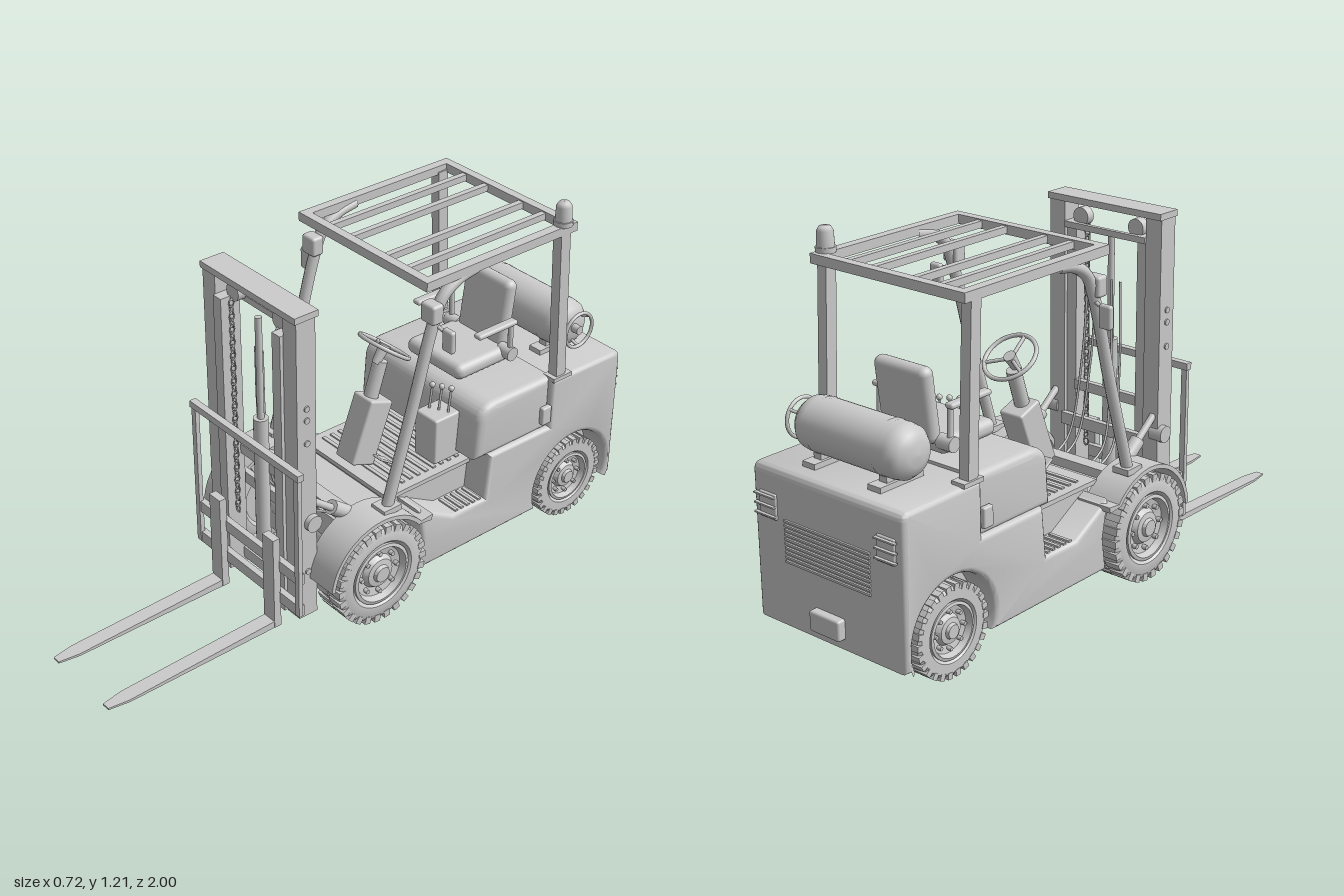
import * as THREE from 'three';
import { toCreasedNormals } from 'three/addons/utils/BufferGeometryUtils.js';
import { RoundedBoxGeometry } from 'three/addons/geometries/RoundedBoxGeometry.js';

const MAT = new THREE.MeshStandardMaterial({ color: 0xcccccc });
const V = (x, y, z) => new THREE.Vector3(x, y, z);
const SIDES = [-1, 1];

export function createModel() {
  const model = new THREE.Group();
  model.name = 'forklift';

  const add = (name, geo, x = 0, y = 0, z = 0, parent = model) => {
    const m = new THREE.Mesh(geo, MAT);
    m.name = name;
    m.position.set(x, y, z);
    parent.add(m);
    return m;
  };
  // Box given by its limits on each axis
  const box = (name, [x0, x1], [y0, y1], [z0, z1], parent) =>
    add(name, new THREE.BoxGeometry(x1 - x0, y1 - y0, z1 - z0), (x0 + x1) / 2, (y0 + y1) / 2, (z0 + z1) / 2, parent);
  const soft = (name, w, h, d, r, x, y, z, parent) => add(name, new RoundedBoxGeometry(w, h, d, 3, r), x, y, z, parent);
  // Round rod between two points
  const rod = (name, a, b, r, r2 = r, parent = model) => {
    const m = add(name, new THREE.CylinderGeometry(r2, r, a.distanceTo(b), 16), 0, 0, 0, parent);
    m.position.copy(a).lerp(b, 0.5);
    m.quaternion.setFromUnitVectors(V(0, 1, 0), b.clone().sub(a).normalize());
    return m;
  };
  const tube = (name, pts, r, n = 24) => add(name, new THREE.TubeGeometry(new THREE.CatmullRomCurve3(pts), n, r, 10));
  // Side profile in (z, y), extruded across x with rounded edges
  const sideExtrude = (shape, width, bevel = 0) => {
    const g = new THREE.ExtrudeGeometry(shape, {
      depth: width - 2 * bevel, bevelEnabled: bevel > 0, bevelSize: bevel, bevelThickness: bevel,
      bevelOffset: -bevel, bevelSegments: 4, curveSegments: 20 });
    g.translate(0, 0, -(width - 2 * bevel) / 2).rotateY(-Math.PI / 2);
    return toCreasedNormals(g, 0.6);
  };

  // Body: one side profile with step notch, rear wheel arch and counterweight
  const body = new THREE.Shape();
  body.moveTo(-0.085, 0.09);
  body.lineTo(-0.1, 0.2);
  body.lineTo(-0.08, 0.325);
  body.lineTo(-0.12, 0.305);
  body.lineTo(-0.235, 0.24);
  body.lineTo(-0.37, 0.24);
  body.lineTo(-0.385, 0.4);
  body.lineTo(-0.65, 0.4);
  body.lineTo(-0.65, 0.575);
  body.lineTo(-0.94, 0.575);
  body.quadraticCurveTo(-0.968, 0.575, -0.968, 0.545);
  body.lineTo(-0.968, 0.09);
  body.lineTo(-0.929, 0.09);
  body.absarc(-0.77, 0.15, 0.17, Math.PI + 0.36, -0.36, true);
  add('body', sideExtrude(body, 0.6, 0.018));
  box('innerChassis', [-0.2, 0.2], [0.09, 0.335], [-0.95, -0.06]);
  box('rearChassis', [-0.18, 0.18], [0.09, 0.5], [-0.95, -0.5]);
  box('frontChassis', [-0.205, 0.205], [0.085, 0.3], [-0.1, 0.13]);
  box('floorPlate', [-0.21, 0.21], [0.335, 0.35], [-0.4, -0.03]);
  for (let i = 0; i < 9; i++) box('floorRib', [-0.18, 0.18], [0.35, 0.355], [-0.36 + i * 0.033, -0.347 + i * 0.033]);
  add('frontAxle', new THREE.CylinderGeometry(0.05, 0.05, 0.46, 24).rotateZ(Math.PI / 2), 0, 0.18, 0.09);
  box('frontCrossBeam', [-0.22, 0.22], [0.29, 0.33], [0.07, 0.12]);
  for (const s of SIDES) for (let i = 0; i < 5; i++)
    box('stepTread', [s * 0.25 - 0.04, s * 0.25 + 0.04], [0.24, 0.246], [-0.36 + i * 0.025, -0.349 + i * 0.025]);

  // Engine cover
  const hood = new THREE.Shape();
  hood.moveTo(-0.335, 0.39);
  hood.lineTo(-0.345, 0.53);
  hood.quadraticCurveTo(-0.355, 0.585, -0.42, 0.585);
  hood.lineTo(-0.66, 0.585);
  hood.lineTo(-0.66, 0.39);
  add('engineCover', sideExtrude(hood, 0.57, 0.025));
  for (const s of SIDES) soft('coverLatch', 0.02, 0.065, 0.04, 0.006, s * 0.295, 0.455, -0.63);

  // Rear grille, lamp guards and rear light
  for (let i = 0; i < 10; i++) box('grilleSlat', [-0.17, 0.17], [0.295 + i * 0.014, 0.302 + i * 0.014], [-0.974, -0.962]);
  for (const s of SIDES) {
    soft('rearLamp', 0.07, 0.08, 0.014, 0.005, s * 0.235, 0.455, -0.968);
    for (let i = 0; i < 3; i++) box('lampGuard', [s * 0.24 - 0.04, s * 0.24 + 0.04], [0.425 + i * 0.03, 0.43 + i * 0.03], [-0.985, -0.972]);
  }
  soft('rearLight', 0.12, 0.065, 0.035, 0.008, 0, 0.155, -0.978);

  // Wheels: tyre, lugs, rim and bolts; outer face along local +x
  const makeWheel = (name, R, w, rim) => {
    const g = new THREE.Group();
    g.name = name;
    const h = w / 2;
    const prof = [[rim, -h * 0.8], [rim * 1.1, -h], [R * 0.88, -h], [R * 0.95, -h * 0.85], [R * 0.97, -h * 0.4],
      [R * 0.97, h * 0.4], [R * 0.95, h * 0.85], [R * 0.88, h], [rim * 1.1, h], [rim, h * 0.8]];
    const lathe = (p, n = 48) => toCreasedNormals(new THREE.LatheGeometry(p.map(([r, x]) => new THREE.Vector2(r, x)), n).rotateZ(-Math.PI / 2), 0.6);
    add('tyre', lathe(prof), 0, 0, 0, g);
    const n = 26;
    for (let i = 0; i < n; i++) for (const s of SIDES) {
      const a = ((i + (s > 0 ? 0.5 : 0)) / n) * Math.PI * 2;
      const lug = add('treadLug', new THREE.BoxGeometry(h * 0.98, R * 0.14, R * 0.13), s * h * 0.54, Math.cos(a) * R * 0.925, Math.sin(a) * R * 0.925, g);
      lug.rotation.x = a;
    }
    add('rim', lathe([[0, -h * 0.8], [rim, -h * 0.8], [rim, h * 0.95], [rim * 0.9, h], [rim * 0.82, h * 0.6], [rim * 0.55, h * 0.5],
      [rim * 0.45, h * 0.8], [rim * 0.28, h * 0.85], [rim * 0.24, h * 1.05], [0, h * 1.05]]), 0, 0, 0, g);
    for (let i = 0; i < 8; i++) {
      const a = (i / 8) * Math.PI * 2;
      add('wheelBolt', new THREE.CylinderGeometry(rim * 0.075, rim * 0.075, 0.03, 6).rotateZ(Math.PI / 2), h * 0.55, Math.cos(a) * rim * 0.66, Math.sin(a) * rim * 0.66, g);
    }
    return g;
  };
  for (const s of SIDES) {
    for (const [name, R, w, rim, x, y, z] of [['frontWheel', 0.177, 0.11, 0.108, 0.275, 0.178, 0.09], ['rearWheel', 0.146, 0.1, 0.088, 0.24, 0.147, -0.77]]) {
      const wheel = makeWheel(name, R, w, rim);
      wheel.position.set(s * x, y, z);
      if (s < 0) wheel.rotation.y = Math.PI;
      model.add(wheel);
    }
    // Front fender
    const arc = new THREE.Shape();
    arc.absarc(0.09, 0.18, 0.204, 0.1, 2.45, false);
    arc.lineTo(-0.115, 0.315);
    arc.lineTo(-0.11, 0.295);
    arc.absarc(0.09, 0.18, 0.19, 2.45, 0.1, true);
    add('frontFender', sideExtrude(arc, 0.125), s * 0.267);
  }

  // Mast
  for (const s of SIDES) {
    const span = (a, b) => (s > 0 ? [a, b] : [-b, -a]);
    box('outerMastRail', span(0.162, 0.222), [0.06, 1.13], [0.265, 0.335]);
    box('innerMastRail', span(0.122, 0.16), [0.06, 1.05], [0.275, 0.345]);
    for (const y of [0.23, 0.7, 0.78, 0.82]) rod('mastBolt', V(s * 0.215, y, 0.3), V(s * 0.227, y, 0.3), 0.01);
    rod('mastPivot', V(s * 0.19, 0.41, 0.285), V(s * 0.24, 0.41, 0.285), 0.028);
    rod('tiltCylinder', V(s * 0.2, 0.31, 0.06), V(s * 0.2, 0.41, 0.19), 0.024);
    rod('tiltRod', V(s * 0.2, 0.4, 0.18), V(s * 0.2, 0.47, 0.27), 0.012);
    rod('chainPulley', V(s * 0.11, 1.068, 0.28), V(s * 0.11, 1.068, 0.31), 0.03);
    for (let i = 0; i < 34; i++) {
      const link = add('chainLink', new THREE.TorusGeometry(0.009, 0.0028, 4, 8), s * 0.11, 0.29 + i * 0.0225, 0.315);
      link.scale.y = 1.5;
      if (i % 2) link.rotation.y = Math.PI / 2;
    }
    for (const x of [0.03, 0.065])
      tube('hose', [V(s * x, 0.89, 0.265), V(s * (x + 0.012), 0.6, 0.25), V(s * (x + 0.025), 0.35, 0.2), V(s * (x + 0.025), 0.3, 0.12)], 0.004);
    // Backrest posts and forks
    box('backrestPost', span(0.245, 0.265), [0.11, 0.63], [0.355, 0.37]);
    const fork = new THREE.Group();
    fork.name = 'fork';
    fork.position.x = s * 0.136;
    model.add(fork);
    box('forkShank', [-0.027, 0.027], [0.015, 0.35], [0.362, 0.388], fork);
    const plan = new THREE.Shape();
    [[-0.025, 0.365], [0.025, 0.365], [0.025, 0.93], [0.014, 1], [-0.014, 1], [-0.025, 0.93]].forEach(([x, z], i) => i ? plan.lineTo(x, -z) : plan.moveTo(x, -z));
    const blade = new THREE.ExtrudeGeometry(plan, { depth: 0.025, bevelEnabled: false }).rotateX(-Math.PI / 2);
    const p = blade.attributes.position; // thin the blade toward its tip
    for (let i = 0; i < p.count; i++) p.setY(i, p.getY(i) * (1 - 0.75 * (p.getZ(i) - 0.365) / 0.635));
    blade.computeVertexNormals();
    add('forkBlade', blade, 0, 0.014, 0, fork);
  }
  box('mastTopBeam', [-0.225, 0.225], [1.115, 1.136], [0.255, 0.342]);
  box('innerMastTopBeam', [-0.16, 0.16], [1.03, 1.05], [0.26, 0.275]);
  box('mastCrossBar', [-0.125, 0.125], [0.485, 0.518], [0.27, 0.29]);
  box('mastLowerBar', [-0.165, 0.165], [0.08, 0.12], [0.265, 0.29]);
  box('mastRearBar', [-0.165, 0.165], [0.36, 0.4], [0.25, 0.27]);
  box('upperCarriageBar', [-0.26, 0.26], [0.225, 0.265], [0.345, 0.366]);
  box('lowerCarriageBar', [-0.26, 0.26], [0.105, 0.145], [0.345, 0.366]);
  box('backrestBar', [-0.27, 0.27], [0.615, 0.638], [0.35, 0.373]);
  rod('liftCylinder', V(0, 0.2, 0.3), V(0, 0.68, 0.3), 0.024);
  rod('liftRod', V(0, 0.67, 0.3), V(0, 1.03, 0.3), 0.011);
  box('liftCylinderFoot', [-0.042, 0.042], [0.185, 0.225], [0.265, 0.335]);

  // Overhead guard
  for (const s of SIDES) {
    box('guardSideRail', [s * 0.283 - 0.016, s * 0.283 + 0.016], [1.1, 1.13], [-0.71, -0.09]);
    tube('guardFrontPost', [V(s * 0.28, 0.38, 0.035), V(s * 0.28, 0.7, -0.06), V(s * 0.28, 0.97, -0.135), V(s * 0.28, 1.05, -0.17), V(s * 0.28, 1.09, -0.23), V(s * 0.28, 1.105, -0.3)], 0.019, 40);
    box('postFoot', [s * 0.28 - 0.03, s * 0.28 + 0.03], [0.375, 0.395], [0, 0.07]);
    const post = box('guardRearPost', [s * 0.28 - 0.018, s * 0.28 + 0.018], [0.575, 1.11], [-0.695, -0.655]);
    post.rotation.x = 0.045;
    box('rearPostFoot', [s * 0.28 - 0.025, s * 0.28 + 0.025], [0.572, 0.586], [-0.73, -0.65]);
    soft('headlight', 0.06, 0.065, 0.045, 0.01, s * 0.28, 1.013, -0.13);
    soft('sideMirror', 0.046, 0.075, 0.022, 0.009, s * 0.336, 0.932, -0.15);
    rod('mirrorArm', V(s * 0.28, 0.97, -0.14), V(s * 0.335, 0.95, -0.15), 0.006);
    for (const x of [0.08, 0.18]) box('guardBar', [s * x - 0.01, s * x + 0.01], [1.104, 1.126], [-0.7, -0.1]);
  }
  box('guardFrontBar', [-0.29, 0.29], [1.1, 1.13], [-0.12, -0.09]);
  box('guardRearBar', [-0.29, 0.29], [1.1, 1.13], [-0.71, -0.68]);
  rod('beaconBase', V(0.28, 1.128, -0.665), V(0.28, 1.145, -0.665), 0.031);
  add('beacon', new THREE.LatheGeometry([[0.027, 0], [0.025, 0.05], [0.018, 0.062], [0, 0.065]].map(([r, y]) => new THREE.Vector2(r, y)), 24), 0.28, 1.142, -0.665);

  // Steering column and wheel
  soft('columnBox', 0.09, 0.225, 0.095, 0.008, 0, 0.472, -0.11).rotation.x = -0.36;
  rod('steeringColumn', V(0, 0.56, -0.13), V(0, 0.7, -0.175), 0.024);
  const steering = new THREE.Group();
  steering.name = 'steeringWheel';
  steering.position.set(0, 0.745, -0.19);
  steering.rotation.x = -0.62;
  model.add(steering);
  add('steeringRim', new THREE.TorusGeometry(0.086, 0.007, 10, 40).rotateX(Math.PI / 2), 0, 0, 0, steering);
  rod('steeringHub', V(0, -0.06, 0), V(0, 0.006, 0), 0.014, 0.02, steering);
  for (let i = 0; i < 3; i++) {
    const a = Math.PI / 2 + (i * Math.PI * 2) / 3;
    rod('steeringSpoke', V(0, -0.006, 0), V(Math.cos(a) * 0.085, 0, Math.sin(a) * 0.085), 0.006, 0.006, steering);
  }
  for (const x of [-0.07, 0.08]) soft('pedal', 0.04, 0.008, 0.06, 0.003, x, 0.39, -0.12).rotation.x = -0.6;

  // Control levers
  soft('leverBox', 0.1, 0.165, 0.12, 0.008, 0.14, 0.45, -0.305);
  for (let i = 0; i < 3; i++) {
    const x = 0.112 + i * 0.028, z = -0.285 - i * 0.015;
    rod('lever', V(x, 0.52, z), V(x, 0.61, z - 0.012), 0.004);
    add('leverKnob', new THREE.SphereGeometry(0.01, 12, 8), x, 0.615, z - 0.012);
  }

  // Seat
  soft('seatCushion', 0.26, 0.055, 0.23, 0.025, 0, 0.615, -0.51);
  soft('seatBack', 0.21, 0.24, 0.05, 0.024, 0, 0.738, -0.635).rotation.x = -0.13;
  for (const s of SIDES) {
    soft('armrest', 0.032, 0.018, 0.17, 0.008, s * 0.145, 0.745, -0.535);
    rod('armrestBracket', V(s * 0.14, 0.625, -0.61), V(s * 0.14, 0.745, -0.605), 0.009);
    rod('seatHinge', V(s * 0.1, 0.627, -0.607), V(s * 0.155, 0.627, -0.607), 0.024);
  }

  // Gas tank with valve and guard ring
  const half = [[0, 0.22], [0.035, 0.217], [0.063, 0.206], [0.079, 0.186], [0.083, 0.16]];
  const tank = [...half.map(([r, x]) => [r, -x]), ...half.slice().reverse()].map(([r, x]) => new THREE.Vector2(r, x));
  add('gasTank', new THREE.LatheGeometry(tank, 40).rotateZ(-Math.PI / 2), 0, 0.678, -0.82);
  add('valveGuard', new THREE.TorusGeometry(0.06, 0.006, 8, 32).rotateY(Math.PI / 2), 0.24, 0.678, -0.82);
  rod('valve', V(0.21, 0.678, -0.82), V(0.245, 0.678, -0.82), 0.015);
  for (const a of [0.6, 2.5, 4.7])
    rod('valveGuardStay', V(0.212, 0.678 + Math.sin(a) * 0.05, -0.82 + Math.cos(a) * 0.05), V(0.24, 0.678 + Math.sin(a) * 0.06, -0.82 + Math.cos(a) * 0.06), 0.005);
  for (const s of SIDES) {
    box('tankFoot', [s * 0.13 - 0.025, s * 0.13 + 0.025], [0.572, 0.592], [-0.905, -0.735]);
    box('tankSaddle', [s * 0.13 - 0.015, s * 0.13 + 0.015], [0.59, 0.62], [-0.87, -0.77]);
    add('tankStrap', new THREE.CylinderGeometry(0.0845, 0.0845, 0.02, 40, 1, true).rotateZ(Math.PI / 2), s * 0.13, 0.678, -0.82);
  }
  return model;
}
